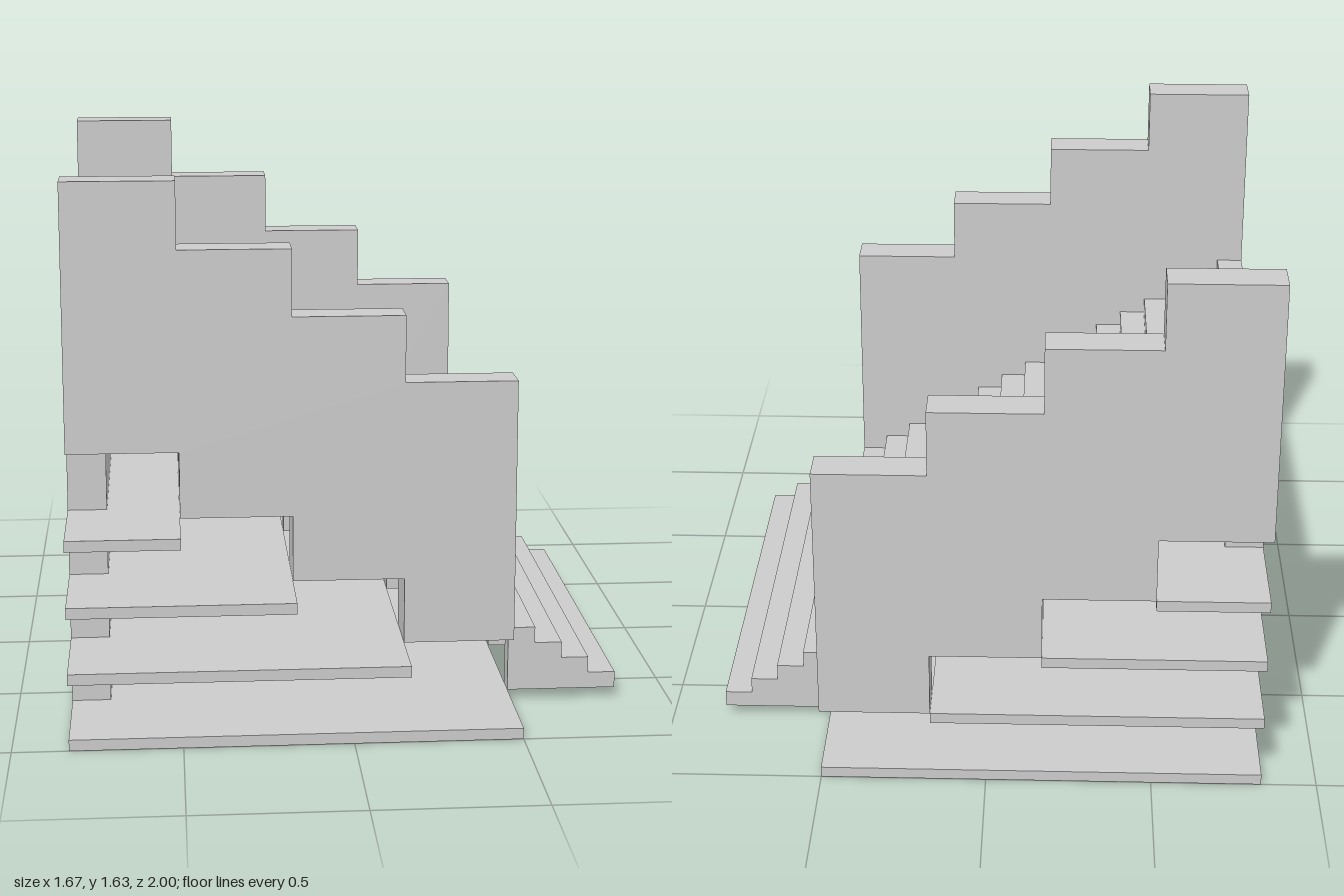
import * as THREE from 'three';

const U = 1 / 60; // modelling unit
const material = new THREE.MeshStandardMaterial({ color: 0xcccccc, flatShading: true });

// Box given by its lower and upper limits, in modelling units
function box(name, x0, x1, y0, y1, z0, z1) {
  const mesh = new THREE.Mesh(
    new THREE.BoxGeometry((x1 - x0) * U, (y1 - y0) * U, (z1 - z0) * U), material);
  mesh.position.set((x0 + x1) / 2 * U, (y0 + y1) / 2 * U, (z0 + z1) / 2 * U);
  mesh.name = name;
  return mesh;
}

// Side profile extruded from z0 to z1
function panel(name, points, z0, z1) {
  const shape = new THREE.Shape(points.map(([x, y]) => new THREE.Vector2(x * U, y * U)));
  const geometry = new THREE.ExtrudeGeometry(shape, { depth: (z1 - z0) * U, bevelEnabled: false });
  geometry.translate(0, 0, z0 * U);
  const mesh = new THREE.Mesh(geometry, material);
  mesh.name = name;
  return mesh;
}

// Points of a staircase line climbing towards -x
function climb(x, y, run, rise, count) {
  const points = [];
  for (let i = 0; i < count; i++) {
    points.push([x - run * i, y + rise * i], [x - run * (i + 1), y + rise * i]);
  }
  return points;
}

export function createModel() {
  const model = new THREE.Group();

  // Floor slabs, each shorter than the one below
  for (let i = 0; i < 4; i++) {
    model.add(box('floorSlab', -50, 30 - 20 * i, 12 * i, 12 * i + 2, -60, 60));
  }

  // Upright wall carrying the top of the stairs
  model.add(box('backWall', -50, -43, 0, 59, -40, 40));

  // Twenty steps
  const stairs = new THREE.Group();
  stairs.name = 'stairs';
  for (let i = 0; i < 20; i++) {
    stairs.add(box('step', 45 - 5 * i, 50 - 5 * i, 2 + 3 * i, 5 + 3 * i, -40, 40));
  }

  // Stringers under the steps, with a coarse stepped underside
  const stringer = [...climb(50, 2, 20, 12, 5), ...climb(50, 5, 5, 3, 20).reverse()];
  for (let i = 0; i < 4; i++) {
    const z = -40 + i * 76 / 3;
    stairs.add(panel('stringer', stringer, z, z + 4));
  }
  model.add(stairs);

  // Stepped side walls
  const wall = [...climb(30, 14, 20, 12, 4), ...climb(30, 62, 20, 12, 4).reverse()];
  model.add(panel('frontSideWall', wall, 40, 47));
  model.add(panel('rearSideWall', wall, -60, -53));

  return model;
}
